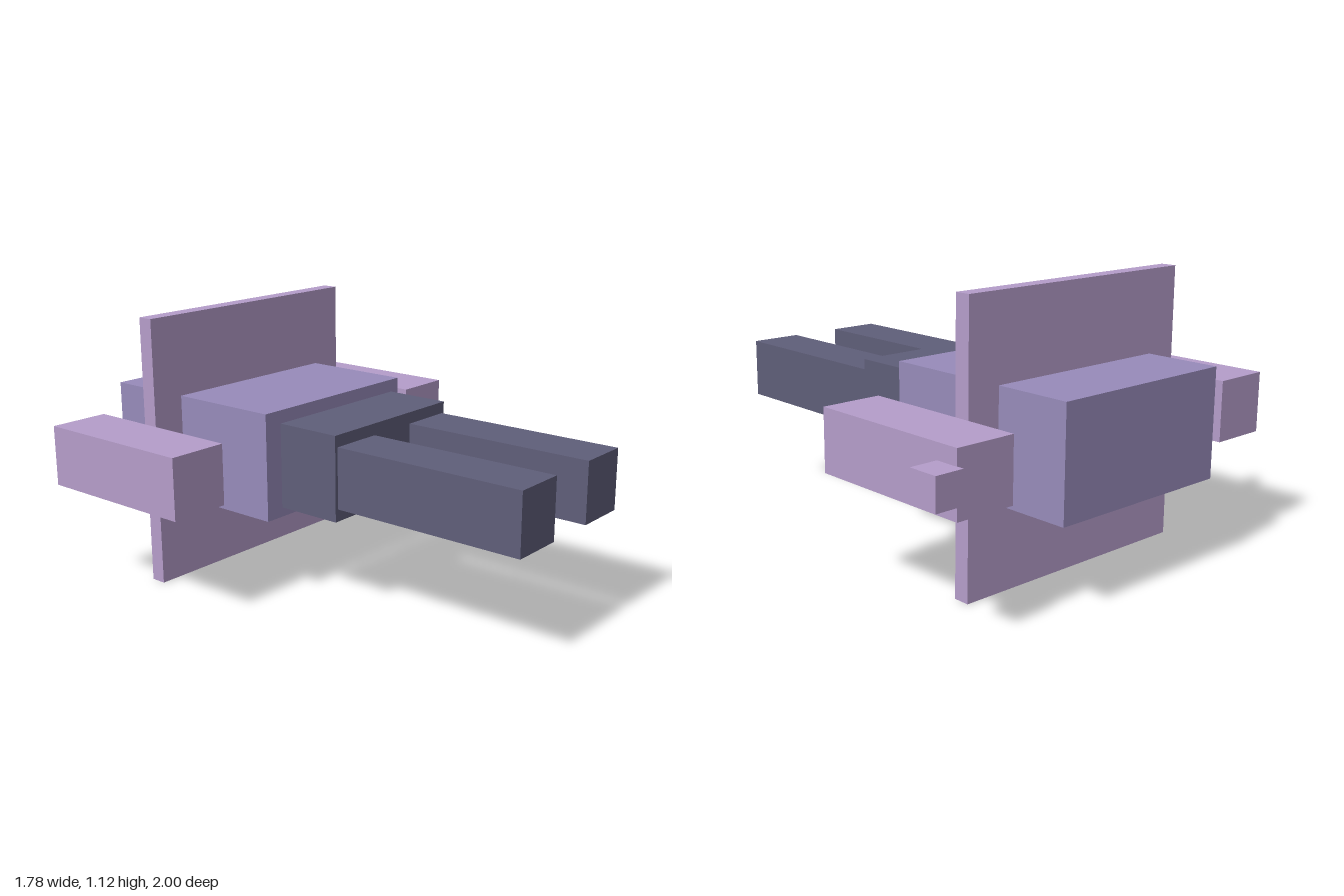
import * as THREE from 'three';

const paint = (name, color) => {
  const m = new THREE.MeshStandardMaterial({ color });
  m.name = name;
  return m;
};

export function createModel() {
  const group = new THREE.Group();
  group.name = 'blockFigure';
  const lilac = paint('lilac', 0xb59dca);
  const violet = paint('violet', 0x978bba);
  const slate = paint('slate', 0x5f5e79);

  // Box given by its extent along each axis
  const block = (name, material, [x0, x1], [y0, y1], [z0, z1]) => {
    const mesh = new THREE.Mesh(new THREE.BoxGeometry(x1 - x0, y1 - y0, z1 - z0), material);
    mesh.position.set((x0 + x1) / 2, (y0 + y1) / 2, (z0 + z1) / 2);
    mesh.name = name;
    group.add(mesh);
  };

  // Body lying along z, with an upright panel through the torso
  block('torso', violet, [-0.477, 0.354], [0.343, 0.786], [-1, -0.127]);
  block('panel', lilac, [-0.62, 0.5], [0, 1.125], [-0.678, -0.612]);
  block('hips', slate, [-0.41, 0.29], [0.39, 0.738], [-0.112, 0.172]);

  // Limbs share one height and mirror about the body's centre line
  const centre = -0.06, limbY = [0.44, 0.69];
  for (const [side, s] of [['right', -1], ['left', 1]]) {
    const span = (mid, width) => [centre + s * mid - width / 2, centre + s * mid + width / 2];
    block(side + 'Leg', slate, span(0.225, 0.223), limbY, [0.172, 1]);
    block(side + 'Arm', lilac, span(0.706, 0.253), limbY, [-0.92, -0.205]);
  }

  // Small hand on the left arm only
  block('leftHand', lilac, [0.77, 0.888], [0.503, 0.628], [-0.948, -0.823]);
  return group;
}
